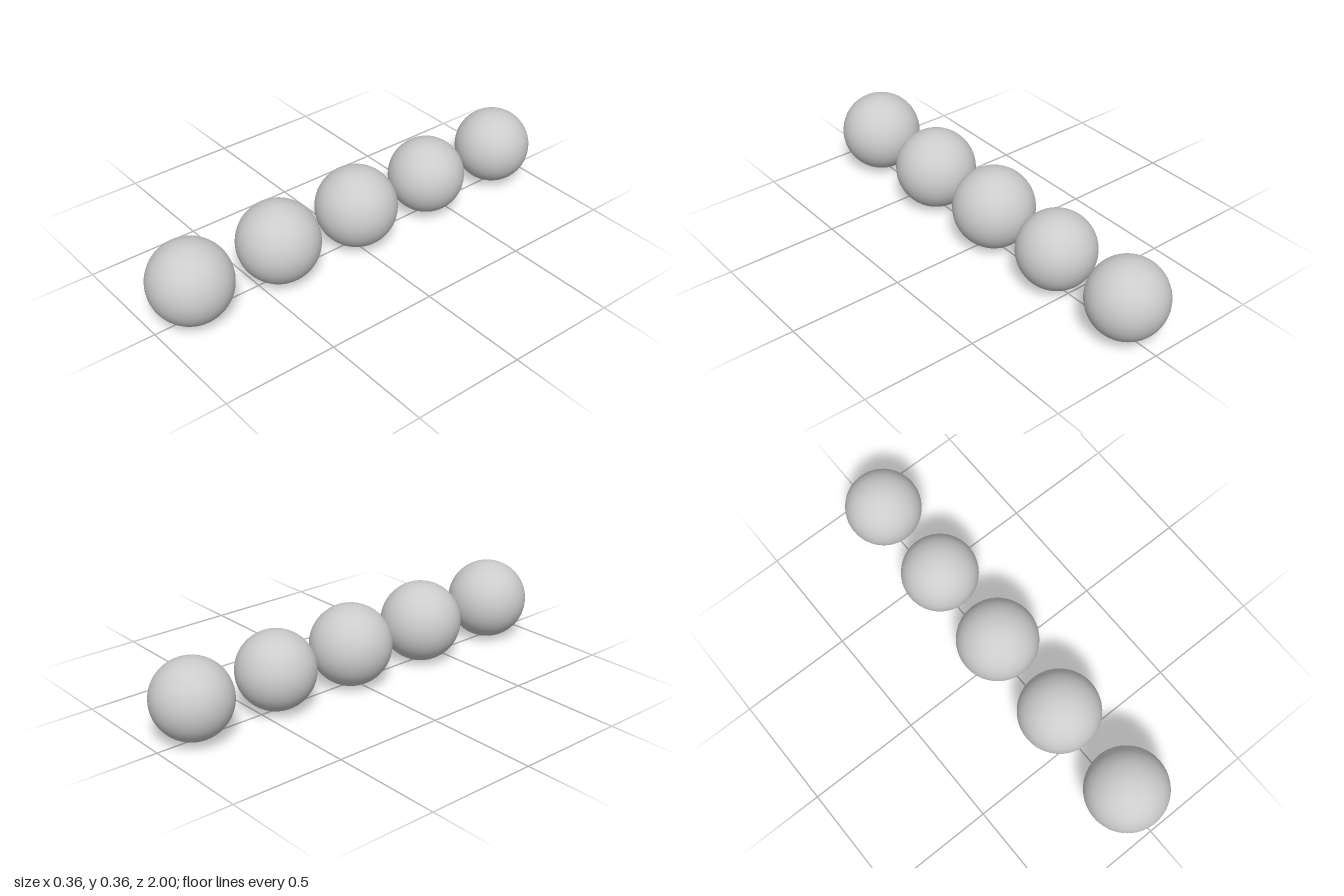
import * as THREE from 'three';

// Row of separate balls along z: three larger ones in front, two smaller behind
const BALLS = [
  { name: 'frontBall', z: 0.821, radius: 0.179 },
  { name: 'secondBall', z: 0.392, radius: 0.179 },
  { name: 'middleBall', z: -0.02, radius: 0.179 },
  { name: 'fourthBall', z: -0.421, radius: 0.17 },
  { name: 'backBall', z: -0.83, radius: 0.17 },
];
const CENTRE_HEIGHT = 0.179;

export function createModel() {
  const model = new THREE.Group();
  model.name = 'ballRow';
  const material = new THREE.MeshStandardMaterial({ color: 0xcccccc });

  for (const { name, z, radius } of BALLS) {
    const ball = new THREE.Mesh(new THREE.SphereGeometry(radius, 64, 40), material);
    ball.name = name;
    ball.position.set(0, CENTRE_HEIGHT, z);
    model.add(ball);
  }
  return model;
}
